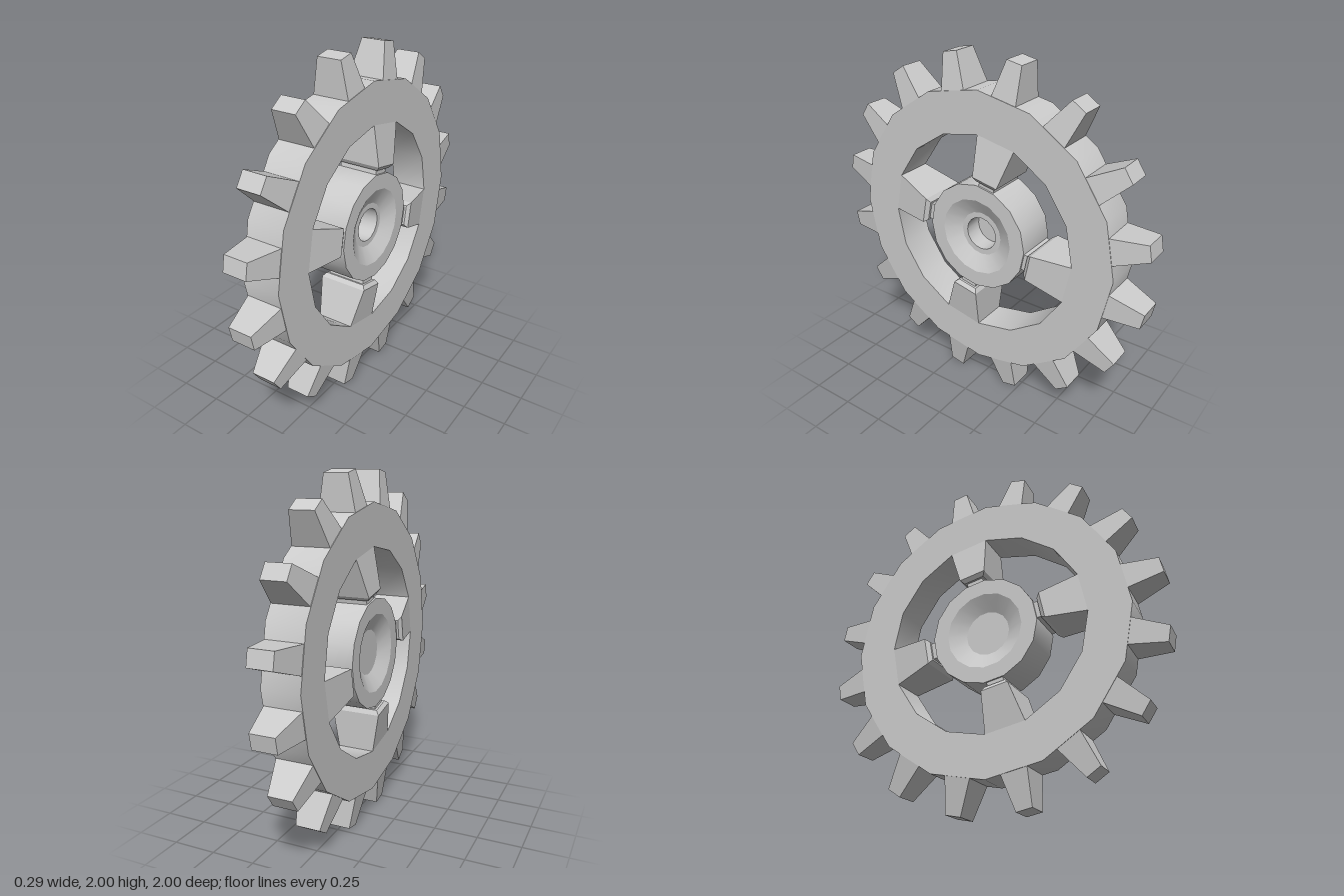
import * as THREE from 'three';
import { toCreasedNormals } from 'three/addons/utils/BufferGeometryUtils.js';

const material = new THREE.MeshStandardMaterial({ color: 0xcccccc });
const SIDES = 16;
const STEP = (Math.PI * 2) / SIDES;

// Solid of revolution about the x axis; profile points are [radius, x].
function turned(name, profile) {
  const points = profile.map(([r, x]) => new THREE.Vector2(r, x));
  const geo = new THREE.LatheGeometry(points, SIDES);
  geo.rotateZ(-Math.PI / 2);
  const mesh = new THREE.Mesh(toCreasedNormals(geo, 0.45), material);
  mesh.name = name;
  return mesh;
}

// Stacked rectangular sections along y: [distance from axle, half width in z, half width in x].
function radialBlock(sections) {
  const n = sections.length - 1;
  const geo = new THREE.BoxGeometry(2, n, 2, 1, n, 1);
  const pos = geo.attributes.position;
  for (let i = 0; i < pos.count; i++) {
    const [r, hz, hx] = sections[Math.round(pos.getY(i) + n / 2)];
    pos.setXYZ(i, pos.getX(i) * hx, r, pos.getZ(i) * hz);
  }
  const flat = geo.toNonIndexed();
  flat.computeVertexNormals();
  return flat;
}

// Copies a block around the axle.
function ring(name, geo, count, start) {
  const group = new THREE.Group();
  group.name = name + 's';
  for (let i = 0; i < count; i++) {
    const mesh = new THREE.Mesh(geo, material);
    mesh.name = name;
    mesh.rotation.x = start + (i * Math.PI * 2) / count;
    group.add(mesh);
  }
  return group;
}

export function createModel() {
  const model = new THREE.Group();
  model.name = 'gearWheel';
  const wheel = new THREE.Group();
  wheel.name = 'wheel';
  wheel.position.y = 1;
  model.add(wheel);

  // Flat-sided rim
  wheel.add(turned('rim', [
    [0.832, -0.108], [0.832, 0.108], [0.595, 0.108], [0.595, -0.108], [0.832, -0.108],
  ]));

  // Hub, dished on both faces, with a blind bore on the +x side
  wheel.add(turned('hub', [
    [0, -0.075], [0.13, -0.075], [0.225, -0.125], [0.315, -0.125],
    [0.315, 0.125], [0.225, 0.125], [0.13, 0.075], [0.097, 0.075],
    [0.097, -0.03], [0, -0.03],
  ]));

  // Tapered teeth, one on each side of the rim
  const tooth = radialBlock([[0.805, 0.076, 0.107], [1.011, 0.045, 0.07]]);
  wheel.add(ring('tooth', tooth, SIDES, STEP / 2));

  // Spokes: narrow neck at the hub, chamfered shoulder, flaring to the rim
  const spoke = radialBlock([
    [0.295, 0.049, 0.115], [0.336, 0.049, 0.115], [0.336, 0.06, 0.128],
    [0.359, 0.079, 0.145], [0.584, 0.116, 0.108],
  ]);
  wheel.add(ring('spoke', spoke, 4, -STEP / 2));

  return model;
}
